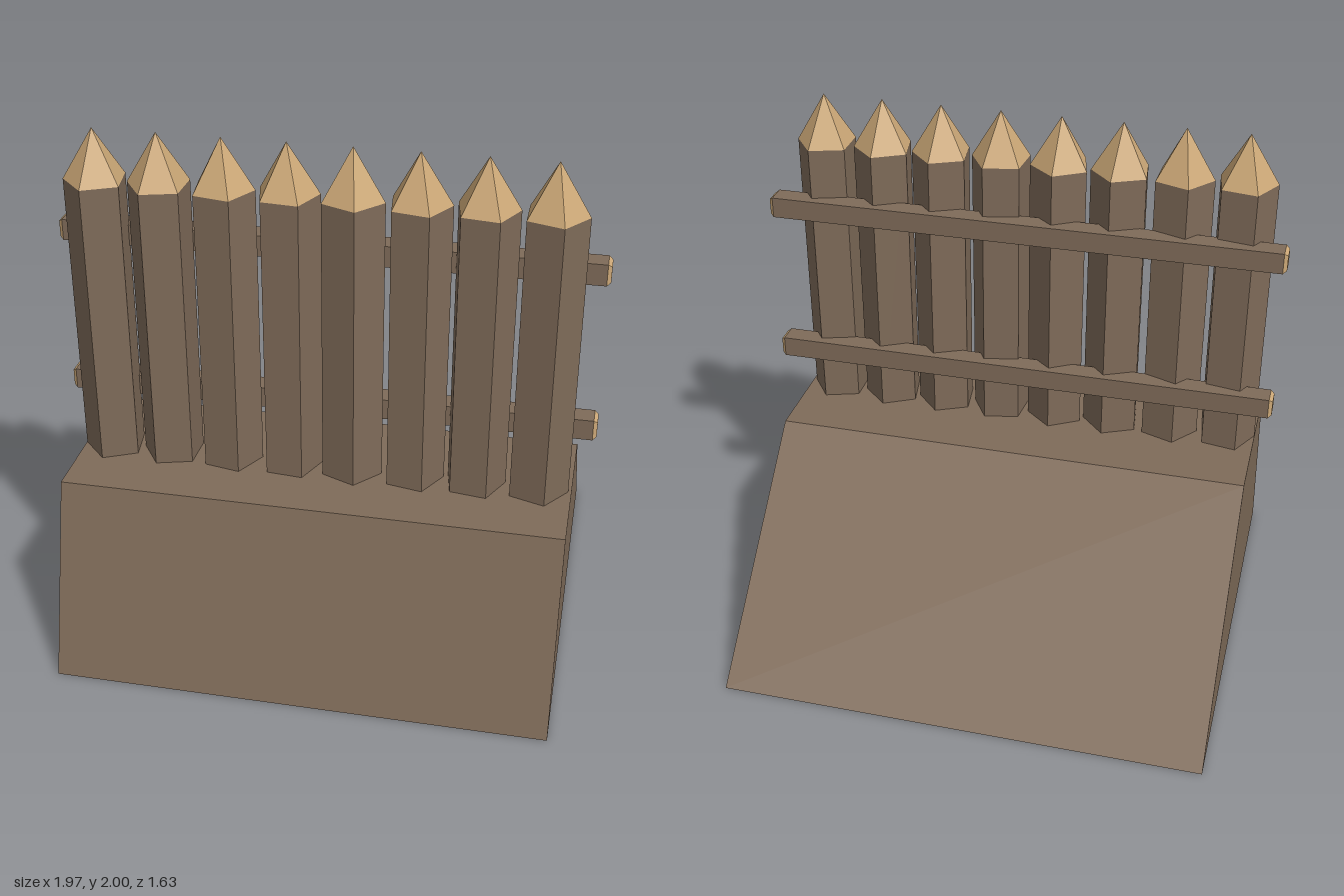
import * as THREE from 'three';

const mat = (name, color) => {
  const m = new THREE.MeshStandardMaterial({ color, flatShading: true });
  m.name = name;
  return m;
};

export function createModel() {
  const brown = mat('brown wood and earth', 0x7f6b59);
  const tan = mat('cut wood', 0xcca877);
  const model = new THREE.Group();
  model.name = 'palisade';

  const add = (parent, name, geometry, material, x, y, z) => {
    const mesh = new THREE.Mesh(geometry, material);
    mesh.name = name;
    mesh.position.set(x, y, z);
    parent.add(mesh);
    return mesh;
  };

  // Earth bank: side profile (-z, y) extruded along x
  const profile = new THREE.Shape(
    [[-0.815, 0], [0.815, 0], [0.03, 0.73], [-0.605, 0.73]].map(([a, b]) => new THREE.Vector2(a, b)));
  const bank = new THREE.ExtrudeGeometry(profile, { depth: 1.84, bevelEnabled: false });
  bank.rotateY(Math.PI / 2);
  add(model, 'earthBank', bank, brown, -0.923, 0, 0);

  // Five-sided stakes, each turned a little differently, with pointed tips
  const turns = [28, 38, 65, 59, 5, 65, 62, 0];
  const radius = 0.115;
  turns.forEach((deg, i) => {
    const start = THREE.MathUtils.degToRad(90 - deg);
    const stake = new THREE.Group();
    stake.name = `stake${i + 1}`;
    stake.position.set(-0.808 + i * 0.2283, 0, 0.305);
    add(stake, 'stakeShaft', new THREE.CylinderGeometry(radius, radius, 1.11, 5, 1, false, start), brown, 0, 1.255, 0);
    add(stake, 'stakeTip', new THREE.ConeGeometry(radius, 0.19, 5, 1, true, start), tan, 0, 1.905, 0);
    model.add(stake);
  });

  // Cross rails behind the stakes, with bevelled cut ends
  const s = 0.08;
  const endGeometry = new THREE.CylinderGeometry((s - 0.02) / Math.SQRT2, s / Math.SQRT2, 0.014, 4, 1, false, Math.PI / 4);
  for (const [name, y] of [['lowerRail', 0.96], ['upperRail', 1.576]]) {
    const rail = new THREE.Group();
    rail.name = name;
    rail.position.set(0, y, 0.202);
    add(rail, 'railBeam', new THREE.BoxGeometry(1.946, s, s), brown, 0, 0, 0);
    for (const side of [-1, 1]) {
      add(rail, 'railEnd', endGeometry, tan, side * 0.98, 0, 0).rotation.z = -side * Math.PI / 2;
    }
    model.add(rail);
  }
  return model;
}
